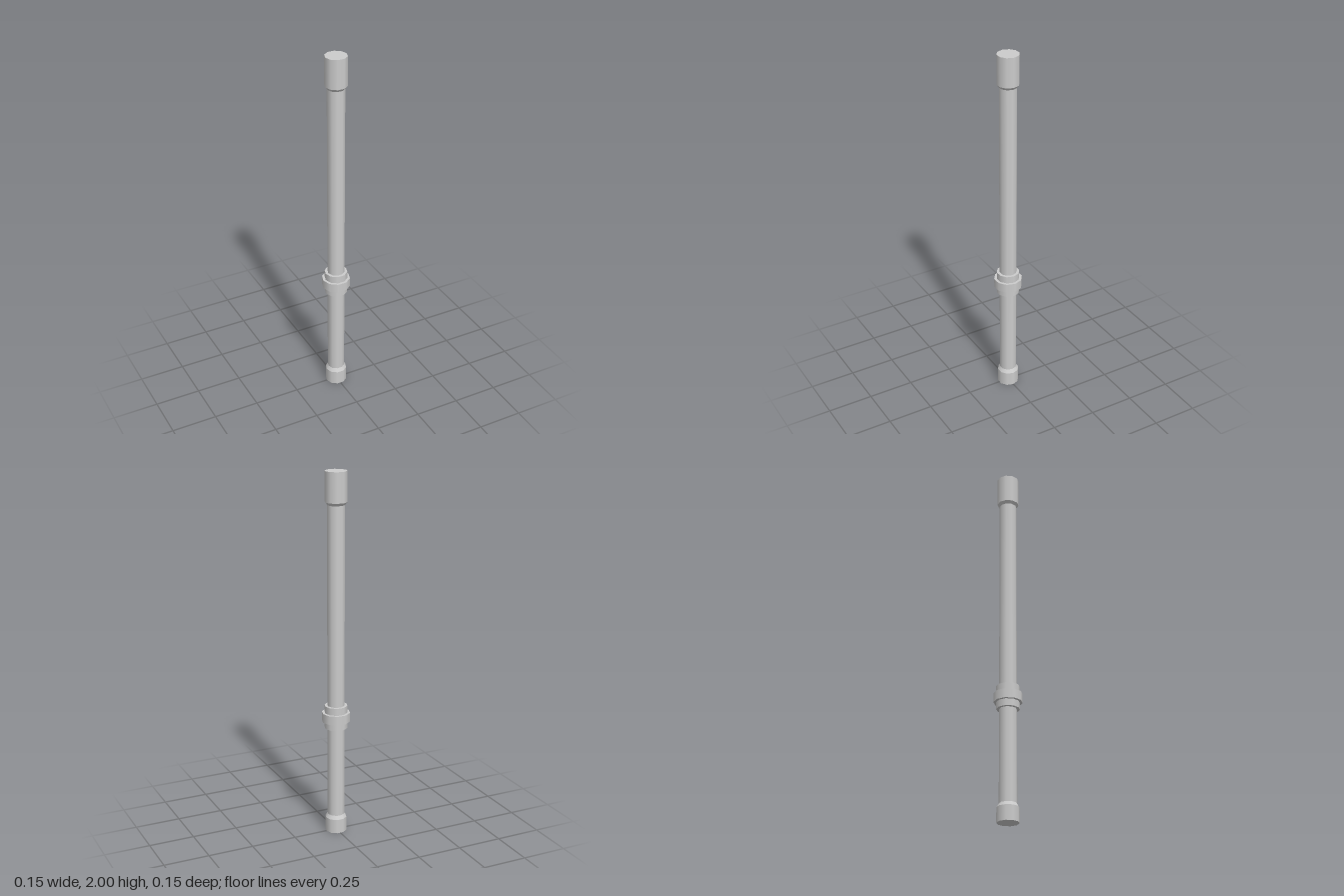
import * as THREE from 'three';

const SIDES = 10;
const material = new THREE.MeshStandardMaterial({ color: 0xcccccc });

// Ten-sided section between two heights, with a corner on the x axis
function section(name, y0, y1, rBottom, rTop = rBottom, open = false) {
  const geometry = new THREE.CylinderGeometry(rTop, rBottom, y1 - y0, SIDES, 1, open, Math.PI / 2);
  const mesh = new THREE.Mesh(geometry, material);
  mesh.name = name;
  mesh.position.y = (y0 + y1) / 2;
  return mesh;
}

export function createModel() {
  const shaftR = 0.047, capR = 0.059, collarR = 0.0625, ringR = 0.077;
  const model = new THREE.Group();
  model.name = 'staff';

  // Long shaft, running between the two end caps
  model.add(section('shaft', 0.1, 1.825, shaftR, shaftR, true));

  // End caps, each with a short taper down to the shaft
  model.add(
    section('bottomCap', 0, 0.08, capR),
    section('bottomCapTaper', 0.08, 0.1, capR, shaftR, true),
    section('topCapTaper', 1.825, 1.84, shaftR, capR, true),
    section('topCap', 1.84, 2, capR)
  );

  // Stepped collar with a wider ring in its middle
  const collar = new THREE.Group();
  collar.name = 'collar';
  collar.add(
    section('lowerCollar', 0.607, 0.645, collarR),
    section('collarRing', 0.645, 0.695, ringR),
    section('upperCollar', 0.695, 0.735, collarR)
  );
  model.add(collar);

  return model;
}
